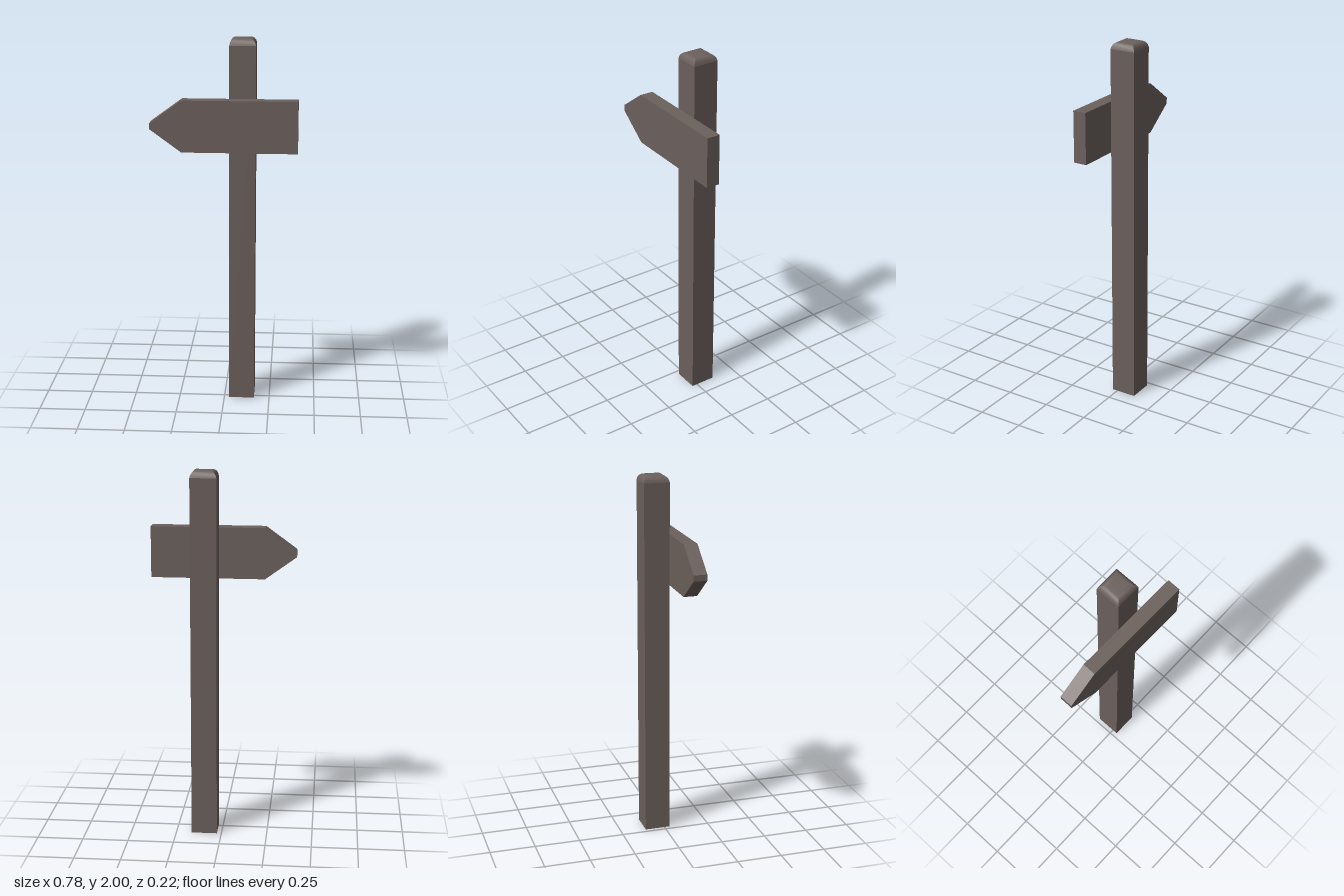
import * as THREE from 'three';
import { toCreasedNormals } from 'three/addons/utils/BufferGeometryUtils.js';

export function createModel() {
  const group = new THREE.Group();
  group.name = 'signpost';
  const wood = new THREE.MeshStandardMaterial({ color: 0x6b605c });
  wood.name = 'weathered wood';

  const add = (name, geometry, x, y, z) => {
    const mesh = new THREE.Mesh(geometry, wood);
    mesh.name = name;
    mesh.position.set(x, y, z);
    group.add(mesh);
    return mesh;
  };

  // Square post
  const half = 0.07, postX = 0.095, postZ = -0.04, shoulder = 1.965;
  add('post', new THREE.BoxGeometry(half * 2, shoulder, half * 2), postX, shoulder / 2, postZ);

  // Rounded four-sided cap: [half width, height above the post]
  const profile = [[half, 0], [0.066, 0.015], [0.058, 0.027], [0.047, 0.034], [0.034, 0.035], [0, 0.035]]
    .map(([w, h]) => new THREE.Vector2(w * Math.SQRT2, h));
  const cap = new THREE.LatheGeometry(profile, 4, Math.PI / 4);
  add('postCap', toCreasedNormals(cap, 0.7), postX, shoulder, postZ);

  // Arrow board with a blunt tip, turned very slightly on the post
  const depth = 0.073;
  const outline = new THREE.Shape([
    [0.39, -0.138], [0.39, 0.138], [-0.223, 0.138],
    [-0.39, 0.016], [-0.39, -0.016], [-0.223, -0.138],
  ].map(([x, y]) => new THREE.Vector2(x, y)));
  const board = new THREE.ExtrudeGeometry(outline, { depth, bevelEnabled: false });
  board.translate(0, 0, -depth / 2);
  add('arrowBoard', board, 0, 1.55, 0.067).rotation.y = -0.0128;

  return group;
}
